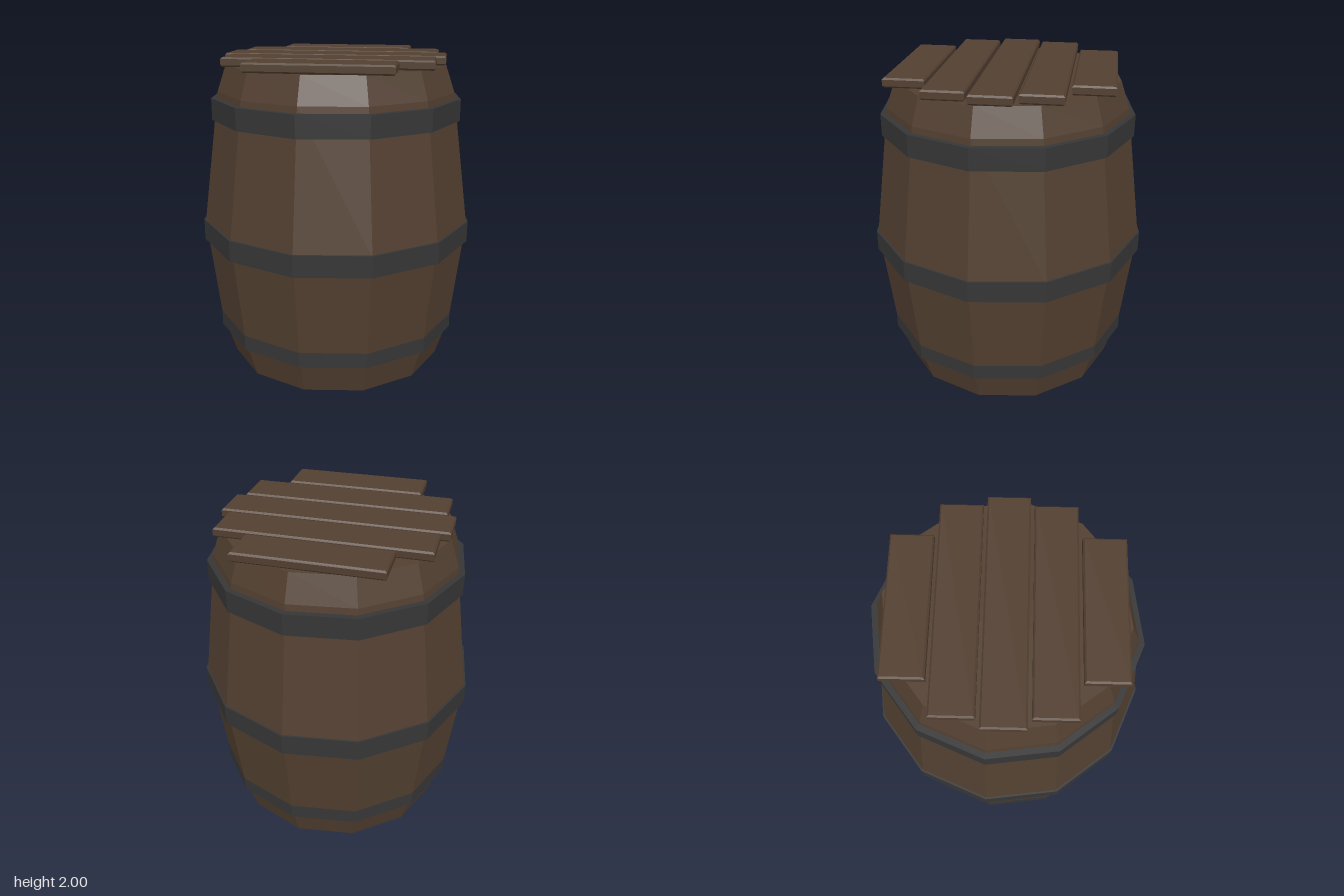
import * as THREE from 'three';

const SIDES = 12;
const TWIST = -0.127; // turns the facets slightly off the axes

const wood = new THREE.MeshStandardMaterial({ color: 0x523f30 });
wood.name = 'darkWood';
const iron = new THREE.MeshStandardMaterial({ color: 0x363637 });
iron.name = 'darkIron';

function faceted(geometry) {
  const flat = geometry.index ? geometry.toNonIndexed() : geometry;
  flat.computeVertexNormals();
  return flat;
}

// Twelve-sided turned shape from [radius, y] pairs
function turned(name, profile, material) {
  const points = profile.map(([r, y]) => new THREE.Vector2(r, y));
  const mesh = new THREE.Mesh(faceted(new THREE.LatheGeometry(points, SIDES, TWIST)), material);
  mesh.name = name;
  return mesh;
}

// Flat board with a small chamfer on every edge
function plank(name, length, width, thickness) {
  const b = 0.01;
  const x = length / 2 - b, y = width / 2 - b;
  const shape = new THREE.Shape([
    new THREE.Vector2(-x, -y), new THREE.Vector2(x, -y),
    new THREE.Vector2(x, y), new THREE.Vector2(-x, y),
  ]);
  const geometry = new THREE.ExtrudeGeometry(shape, {
    depth: thickness - 2 * b, bevelEnabled: true, bevelThickness: b, bevelSize: b, bevelSegments: 1,
  });
  geometry.translate(0, 0, b);
  geometry.rotateX(-Math.PI / 2);
  const mesh = new THREE.Mesh(faceted(geometry), wood);
  mesh.name = name;
  return mesh;
}

export function createModel() {
  const barrel = new THREE.Group();
  barrel.name = 'barrel';

  // Bulging body with closed top and bottom
  barrel.add(turned('body', [
    [0, 0], [0.705, 0], [0.789, 0.27], [0.867, 0.95], [0.752, 1.78], [0.695, 1.943], [0, 1.943],
  ], wood));

  // Three iron hoops
  const hoops = [
    ['lowerHoop', 0.793, 0.207], ['middleHoop', 0.877, 0.828], ['upperHoop', 0.793, 1.608],
  ];
  for (const [name, r, y] of hoops) {
    const inner = r - 0.06, top = y + 0.134;
    barrel.add(turned(name, [[inner, y], [r, y], [r, top], [inner, top], [inner, y]], iron));
  }

  // Lid made of five planks, shorter towards the edges
  const lid = new THREE.Group();
  lid.name = 'lid';
  [0.86, 1.265, 1.375, 1.265, 0.86].forEach((length, i) => {
    const board = plank(`lidPlank${i + 1}`, length, 0.248, 0.057);
    board.position.set(0, 1.943, (i - 2) * 0.27);
    lid.add(board);
  });
  barrel.add(lid);

  return barrel;
}
